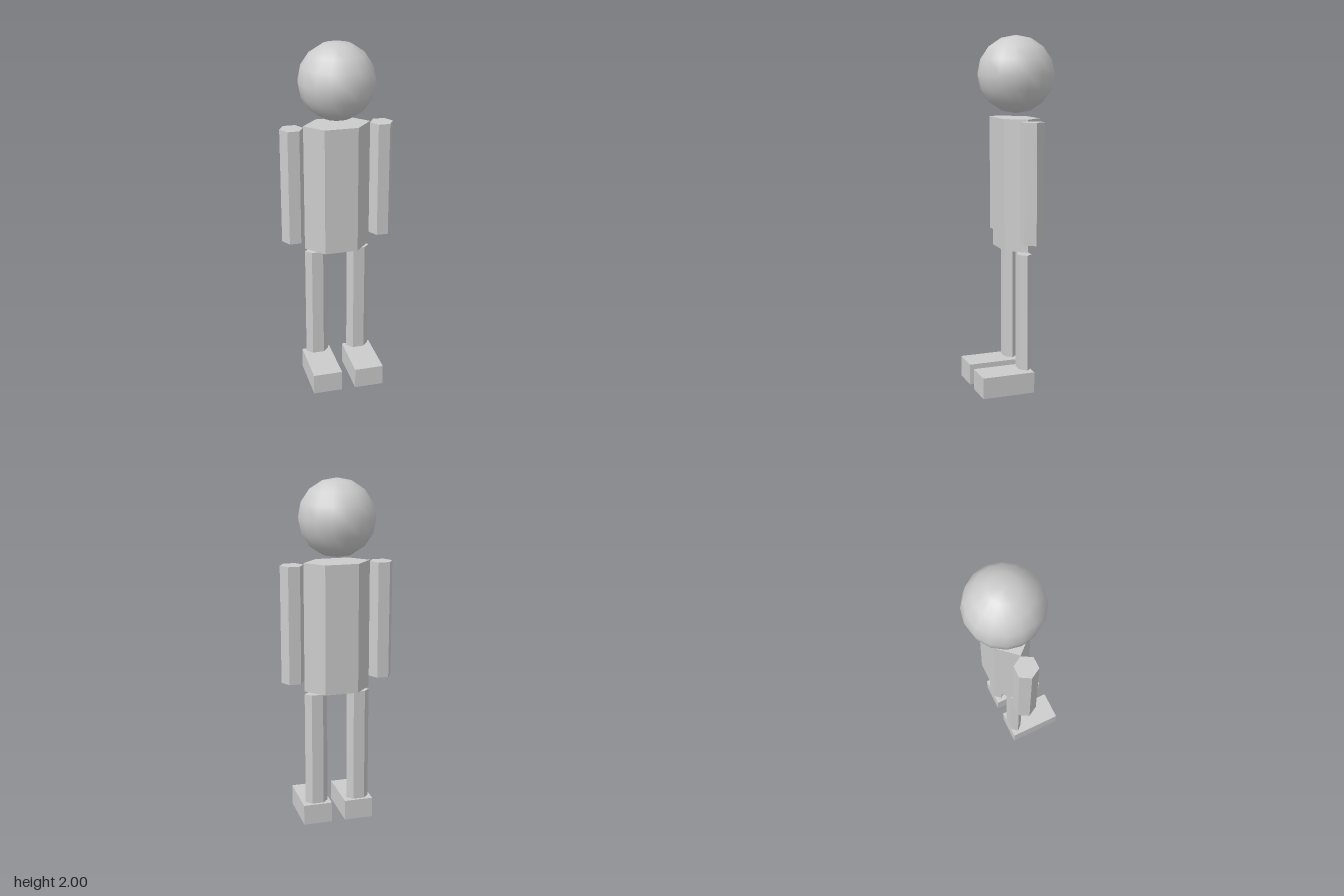
import * as THREE from 'three';

const flat = new THREE.MeshStandardMaterial({ color: 0xcccccc, flatShading: true });
const smooth = new THREE.MeshStandardMaterial({ color: 0xcccccc });
const Z = -0.027; // depth of the body axis

// Upright hexagonal prism with corners pointing to the sides
function hexPrism(name, x, bottom, top, radius, halfDepth) {
  const geometry = new THREE.CylinderGeometry(radius, radius, top - bottom, 6, 1, false, Math.PI / 2);
  geometry.scale(1, 1, halfDepth / (radius * Math.sin(Math.PI / 3)));
  const mesh = new THREE.Mesh(geometry, flat);
  mesh.name = name;
  mesh.position.set(x, (top + bottom) / 2, Z);
  return mesh;
}

export function createModel() {
  const model = new THREE.Group();
  model.name = 'figure';

  // Head: faceted outline, smooth shading
  const head = new THREE.Mesh(new THREE.SphereGeometry(0.215, 16, 8), smooth);
  head.name = 'head';
  head.position.set(0, 1.785, Z);
  model.add(head);

  // Torso
  model.add(hexPrism('torso', 0, 0.81, 1.545, 0.19, 0.104));

  // Paired limbs
  for (const [side, s] of [['left', 1], ['right', -1]]) {
    model.add(hexPrism(side + 'Arm', s * 0.256, 0.873, 1.537, 0.066, 0.057));
    model.add(hexPrism(side + 'Leg', s * 0.124, 0.128, 0.793, 0.066, 0.035));

    const foot = new THREE.Mesh(new THREE.BoxGeometry(0.168, 0.12, 0.304), flat);
    foot.name = side + 'Foot';
    foot.position.set(s * 0.124, 0.06, 0.09);
    model.add(foot);
  }
  return model;
}
